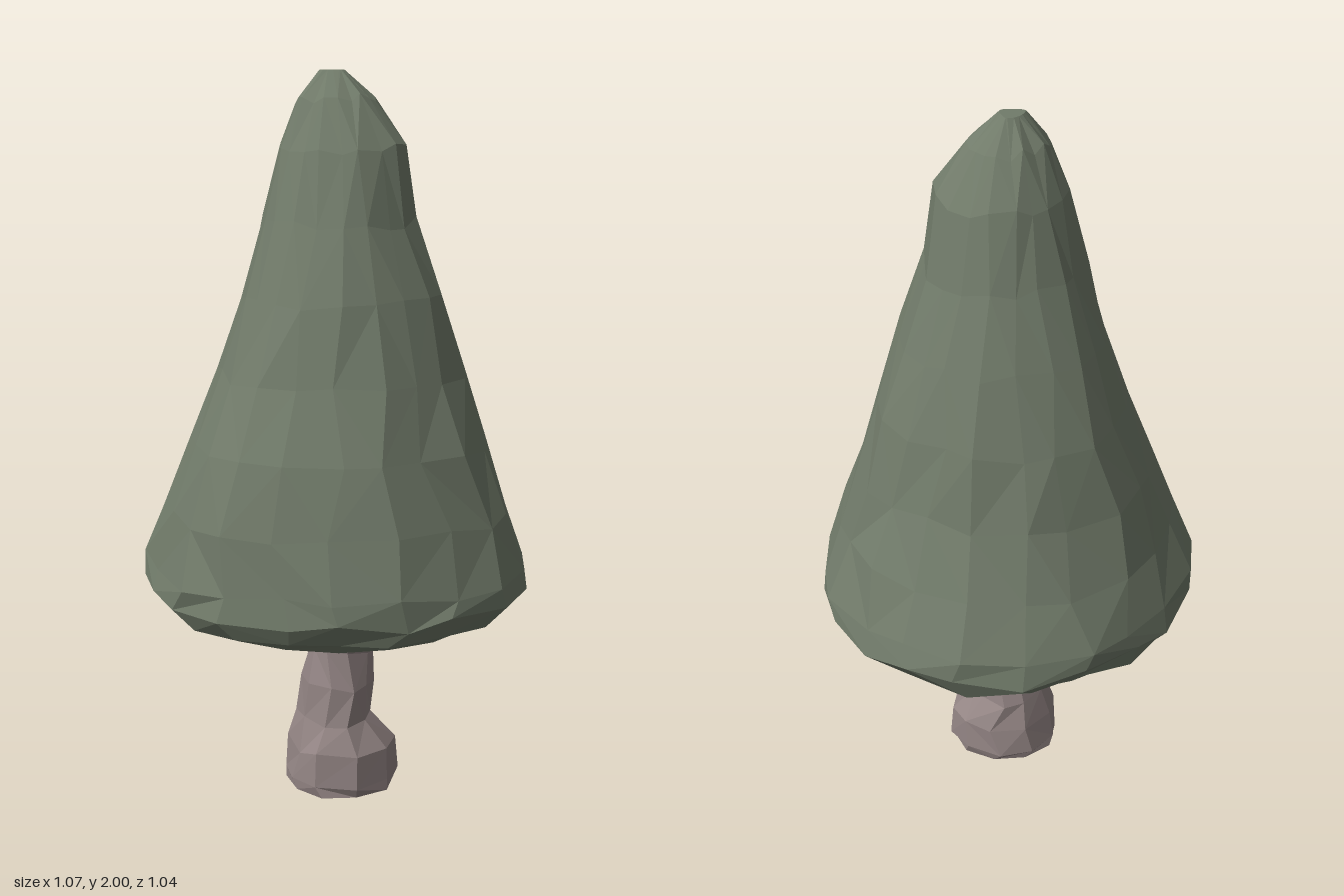
import * as THREE from 'three';

// Repeatable value in -1..1 for a pair of integers
function jitter(i, j) {
  const s = Math.sin(i * 127.1 + j * 311.7) * 43758.5453;
  return (s - Math.floor(s)) * 2 - 1;
}

// Faceted closed skin over rings [y, +x, -x, +z, -z] listed from bottom to top
function carvedForm(rings, sides, rough, fold, yRough) {
  const pos = [], index = [], last = rings.length - 1;
  rings.forEach(([y, xp, xn, zp, zn], i) => {
    const end = i === 0 || i === last;
    for (let j = 0; j < sides; j++) {
      const a = ((j + (end ? 0 : 0.22 * jitter(j, i + 9))) / sides) * Math.PI * 2;
      const c = Math.cos(a), s = Math.sin(a);
      const k = 1 + rough * jitter(i, j) + fold * Math.sin(5 * a + 2.5 * y) * Math.sin(2 * a - 3 * y);
      pos.push((c > 0 ? xp : xn) * c * k, y + (end ? 0 : yRough * jitter(j + 40, i)), (s > 0 ? zp : zn) * s * k);
    }
  });
  for (let i = 0; i < last; i++) {
    for (let j = 0; j < sides; j++) {
      const n = (j + 1) % sides;
      const a = i * sides + j, b = i * sides + n, c = a + sides, d = b + sides;
      // Diagonals vary so the facets look hand cut
      if (jitter(i + 3, j + 5) > 0) index.push(a, c, b, b, c, d);
      else index.push(a, c, d, a, d, b);
    }
  }
  // Bottom and top caps
  const lo = pos.length / 3, hi = lo + 1, t = last * sides;
  for (const r of [rings[0], rings[last]]) pos.push((r[1] - r[2]) / 2, r[0], (r[3] - r[4]) / 2);
  for (let j = 0; j < sides; j++) {
    const n = (j + 1) % sides;
    index.push(lo, j, n, hi, t + n, t + j);
  }
  const g = new THREE.BufferGeometry();
  g.setAttribute('position', new THREE.Float32BufferAttribute(pos, 3));
  g.setIndex(index);
  const flat = g.toNonIndexed();
  flat.computeVertexNormals();
  return flat;
}

function part(name, geometry, color) {
  const mesh = new THREE.Mesh(geometry, new THREE.MeshStandardMaterial({ color, flatShading: true }));
  mesh.name = name;
  return mesh;
}

export function createModel() {
  const tree = new THREE.Group();
  tree.name = 'tree';

  // Cone of foliage with a rounded lower rim and a blunt tip
  const foliage = carvedForm([
    [0.525, 0.42, 0.45, 0.42, 0.43],
    [0.555, 0.48, 0.49, 0.48, 0.475],
    [0.61, 0.53, 0.53, 0.515, 0.51],
    [0.67, 0.525, 0.52, 0.51, 0.505],
    [0.82, 0.465, 0.47, 0.485, 0.445],
    [1.0, 0.405, 0.41, 0.43, 0.38],
    [1.2, 0.345, 0.34, 0.36, 0.335],
    [1.4, 0.285, 0.27, 0.3, 0.28],
    [1.6, 0.215, 0.21, 0.22, 0.215],
    [1.79, 0.185, 0.16, 0.16, 0.165],
    [1.92, 0.1, 0.115, 0.085, 0.105],
    [1.995, 0.015, 0.05, 0.015, 0.05],
  ], 20, 0.025, 0.025, 0.015);
  tree.add(part('foliage', foliage, 0x717b6a));

  // Gnarled trunk with a flared foot, its top hidden in the foliage
  const trunk = carvedForm([
    [0.0, 0.165, 0.15, 0.165, 0.14],
    [0.03, 0.175, 0.155, 0.17, 0.145],
    [0.12, 0.16, 0.145, 0.16, 0.14],
    [0.2, 0.09, 0.12, 0.125, 0.12],
    [0.3, 0.1, 0.11, 0.12, 0.09],
    [0.4, 0.1, 0.08, 0.1, 0.07],
    [0.5, 0.125, 0.085, 0.12, 0.105],
    [0.56, 0.125, 0.09, 0.12, 0.11],
  ], 10, 0.04, 0.03, 0.01);
  tree.add(part('trunk', trunk, 0x938584));

  return tree;
}
